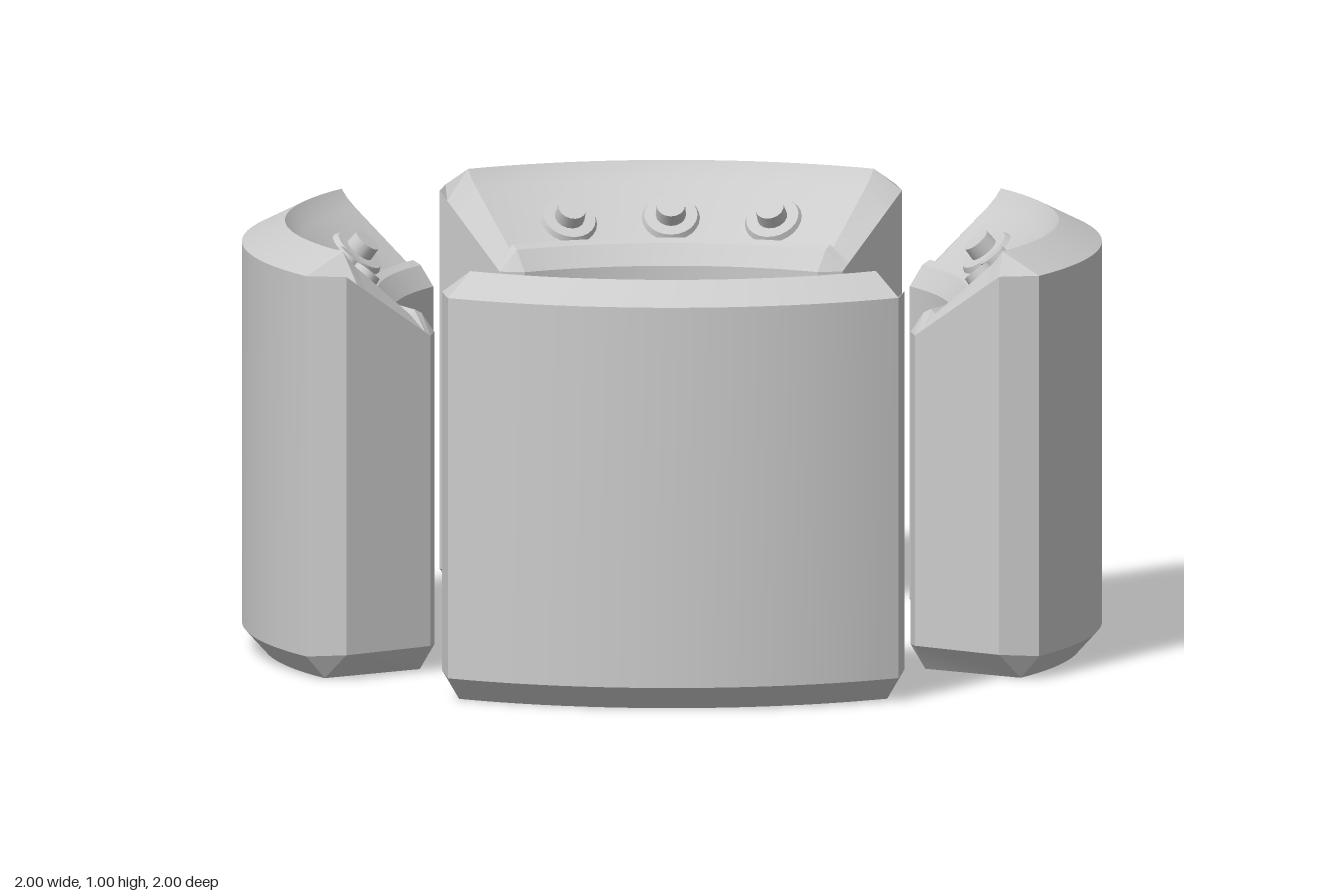
import * as THREE from 'three';
import { toCreasedNormals } from 'three/addons/utils/BufferGeometryUtils.js';

const deg = Math.PI / 180;
const FULL = 31.6 * deg;  // where the end bevel starts
const END = 35.3 * deg;   // flat end face
const STEPS = 20;

// Cross-section as [radius, height], counter-clockwise
const PROFILE = [
  [0.69, 0], [0.95, 0], [1, 0.055], [1, 0.95], [0.9, 1], [0.885, 0.98], [0.862, 0.958],
  [0.718, 0.838], [0.705, 0.848], [0.685, 0.838], [0.65, 0.79], [0.65, 0.055],
];

// The end face is the cross-section pulled in to a smaller sloped block
const END_PROFILE = PROFILE.map(([r, y]) => {
  const rr = THREE.MathUtils.clamp(r, 0.69, 0.93);
  return [rr, THREE.MathUtils.clamp(y, 0.06, 0.79 + (rr - 0.69) * 0.667)];
});

function segmentGeometry() {
  const sections = [[-END, END_PROFILE]];
  for (let i = 0; i <= STEPS; i++) sections.push([-FULL + (2 * FULL * i) / STEPS, PROFILE]);
  sections.push([END, END_PROFILE]);

  const n = PROFILE.length;
  const pos = [];
  const index = [];
  for (const [a, profile] of sections) {
    for (const [r, y] of profile) pos.push(r * Math.sin(a), y, r * Math.cos(a));
  }
  for (let i = 0; i < sections.length - 1; i++) {
    for (let j = 0; j < n; j++) {
      const a = i * n + j, b = i * n + ((j + 1) % n);
      index.push(a, a + n, b + n, a, b + n, b);
    }
  }
  // flat end caps
  const last = (sections.length - 1) * n;
  for (let j = 1; j < n - 1; j++) {
    index.push(0, j, j + 1);
    index.push(last, last + j + 1, last + j);
  }
  const geometry = new THREE.BufferGeometry();
  geometry.setAttribute('position', new THREE.Float32BufferAttribute(pos, 3));
  geometry.setIndex(index);
  return toCreasedNormals(geometry, 20 * deg);
}

export function createModel() {
  const model = new THREE.Group();
  const material = new THREE.MeshStandardMaterial({ color: 0xcccccc });
  const body = segmentGeometry();
  const disc = new THREE.CylinderGeometry(0.062, 0.07, 0.016, 24);
  const stem = new THREE.CylinderGeometry(0.033, 0.036, 0.04, 16);

  function add(parent, name, geometry, y = 0) {
    const mesh = new THREE.Mesh(geometry, material);
    mesh.name = name;
    mesh.position.y = y;
    parent.add(mesh);
  }

  const names = ['front', 'left', 'back', 'right'];
  names.forEach((side, k) => {
    const segment = new THREE.Group();
    segment.name = side + 'Segment';
    segment.rotation.y = (k * Math.PI) / 2;
    add(segment, 'curvedBlock', body);

    // three knobs standing square on the sloped panel
    for (const angle of [-18, 0, 18]) {
      const arm = new THREE.Group();
      arm.name = 'knobArm';
      arm.rotation.y = angle * deg;
      const knob = new THREE.Group();
      knob.name = 'knob';
      knob.position.set(0, 0.882, 0.772);
      knob.rotation.x = -Math.atan2(0.12, 0.144);
      add(knob, 'knobBase', disc, 0.006);
      add(knob, 'knobStem', stem, 0.025);
      arm.add(knob);
      segment.add(arm);
    }
    model.add(segment);
  });
  return model;
}
